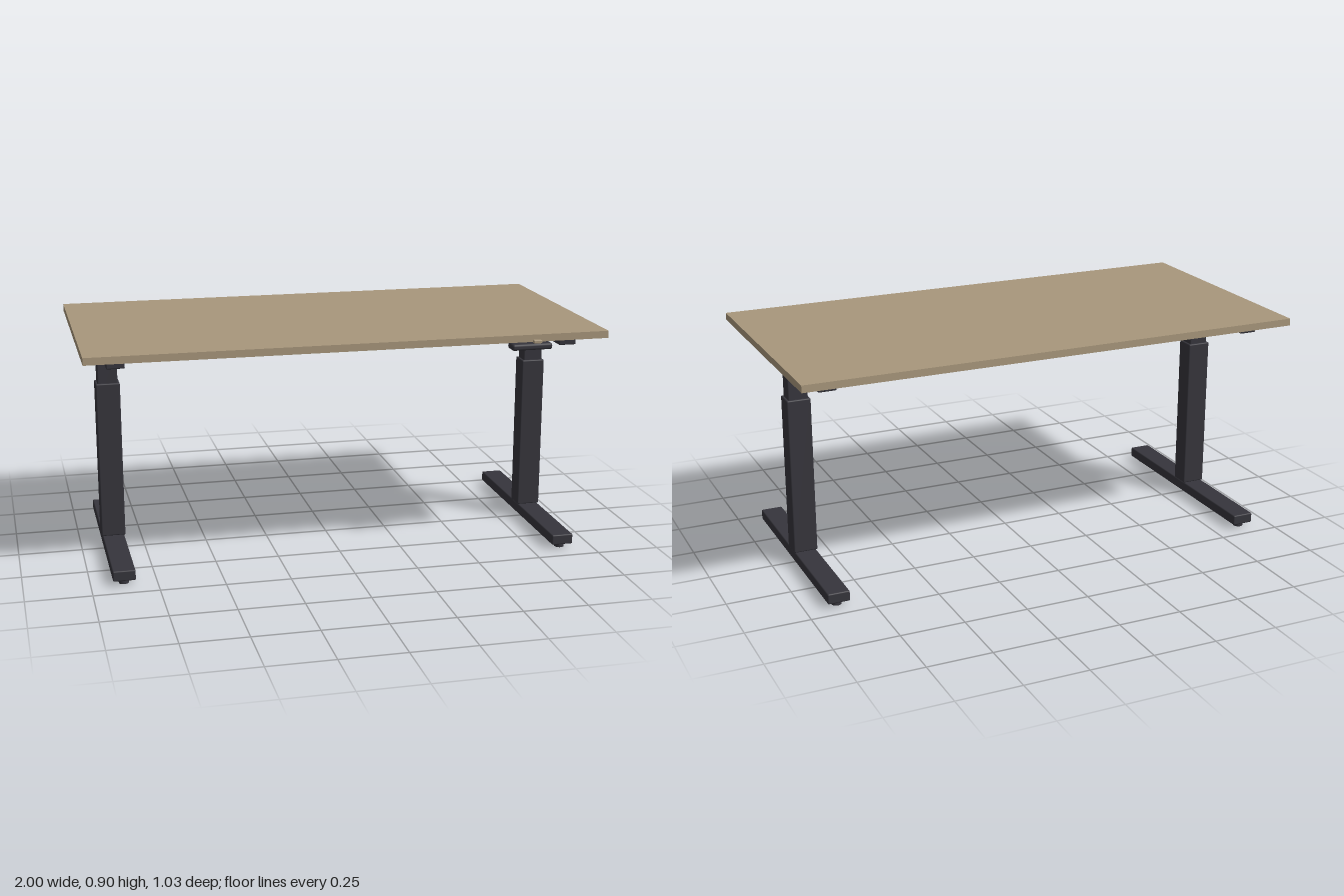
import * as THREE from 'three';
import { RoundedBoxGeometry } from 'three/addons/geometries/RoundedBoxGeometry.js';

const material = (name, color) => {
  const m = new THREE.MeshStandardMaterial({ color });
  m.name = name;
  return m;
};

export function createModel() {
  const wood = material('light wood', 0xa8977c);
  const metal = material('dark metal', 0x36353c);
  const group = new THREE.Group();
  group.name = 'standingDesk';

  const add = (parent, name, geometry, mat, x, y, z) => {
    const mesh = new THREE.Mesh(geometry, mat);
    mesh.name = name;
    mesh.position.set(x, y, z);
    parent.add(mesh);
  };

  // Box given by its limits on each axis, with softened edges if r > 0
  const box = (parent, name, mat, [x0, x1], [y0, y1], [z0, z1], r = 0) => {
    const size = [x1 - x0, y1 - y0, z1 - z0];
    const geometry = r ? new RoundedBoxGeometry(...size, 2, r) : new THREE.BoxGeometry(...size);
    add(parent, name, geometry, mat, (x0 + x1) / 2, (y0 + y1) / 2, (z0 + z1) / 2);
  };

  // Table top and the beam that joins the side rails
  box(group, 'tableTop', wood, [-1, 1], [0.872, 0.9], [-0.512, 0.488]);
  box(group, 'crossBeam', metal, [-0.842, 0.842], [0.824, 0.869], [-0.173, -0.1], 0.004);

  // Two telescopic legs, each with a top rail, a foot and round pads
  for (const side of [-1, 1]) {
    const leg = new THREE.Group();
    leg.name = side > 0 ? 'leftLeg' : 'rightLeg';
    leg.position.x = side * 0.875;
    group.add(leg);
    box(leg, 'topRail', metal, [-0.034, 0.034], [0.829, 0.871], [-0.411, 0.388], 0.004);
    box(leg, 'upperColumn', metal, [-0.039, 0.039], [0.6, 0.813], [-0.043, 0.021], 0.005);
    box(leg, 'lowerColumn', metal, [-0.047, 0.047], [0.06, 0.685], [-0.051, 0.029], 0.005);
    box(leg, 'foot', metal, [-0.043, 0.043], [0.018, 0.059], [-0.448, 0.425], 0.005);
    for (const z of [0.39, -0.413]) {
      add(leg, 'footPad', new THREE.CylinderGeometry(0.019, 0.019, 0.02, 24), metal, 0, 0.01, z);
    }
  }

  // Height control under the front edge
  box(group, 'controlPanel', metal, [0.605, 0.765], [0.845, 0.87], [0.453, 0.513], 0.009);
  box(group, 'controlButton', wood, [0.692, 0.725], [0.866, 0.881], [0.488, 0.506], 0.003);

  return group;
}
